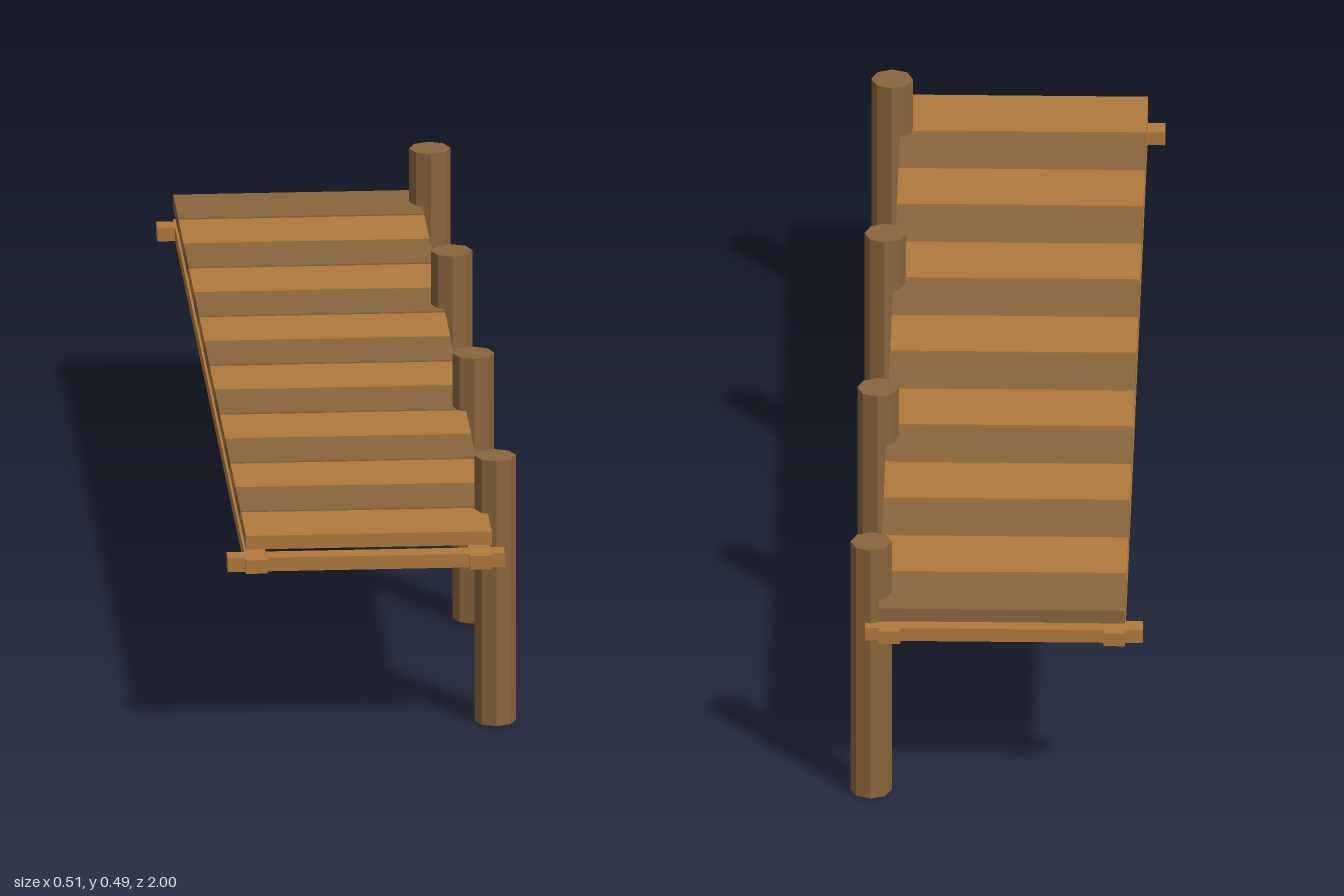
import * as THREE from 'three';

export function createModel() {
  const model = new THREE.Group();
  model.name = 'woodenDock';
  const light = new THREE.MeshStandardMaterial({ color: 0xb07a3c, flatShading: true });
  const dark = new THREE.MeshStandardMaterial({ color: 0x8a653c, flatShading: true });

  // Box given by its minimum and maximum on each axis
  function beam(name, [x0, x1], [y0, y1], [z0, z1], material) {
    const mesh = new THREE.Mesh(new THREE.BoxGeometry(x1 - x0, y1 - y0, z1 - z0), material);
    mesh.position.set((x0 + x1) / 2, (y0 + y1) / 2, (z0 + z1) / 2);
    mesh.name = name;
    model.add(mesh);
  }

  // Deck: alternating planks, with a narrow gap in front of every dark one
  const count = 14, pitch = 2 / count, gap = 0.004;
  for (let i = 0; i < count; i++) {
    const z0 = -1 + i * pitch, z1 = z0 + pitch;
    const isDark = i % 2 === 0;
    const span = isDark
      ? [z0, z1 - gap]
      : [i === 0 ? z0 : z0 + gap, z1];
    beam(`plank${i + 1}`, [-0.227, 0.206], [0.365, 0.39], span, isDark ? dark : light);
  }

  // Long rails under the deck
  const railY = [0.32, 0.345];
  beam('rightRail', [-0.227, -0.189], railY, [-1, 1], light);
  beam('leftRail', [0.168, 0.206], railY, [-1, 1], light);

  // Cross beams near both ends
  beam('frontCrossBeam', [-0.258, 0.23], railY, [0.95, 0.987], light);
  beam('backCrossBeam', [-0.258, 0.23], railY, [-0.987, -0.95], light);

  // Eight-sided posts along the left side
  const postHeight = 0.488;
  const postGeometry = new THREE.CylinderGeometry(0.0365, 0.0365, postHeight, 8);
  for (let i = 0; i < 4; i++) {
    const post = new THREE.Mesh(postGeometry, dark);
    post.position.set(0.2205, postHeight / 2, 0.867 - i * 0.6);
    post.name = `post${i + 1}`;
    model.add(post);
  }
  return model;
}
